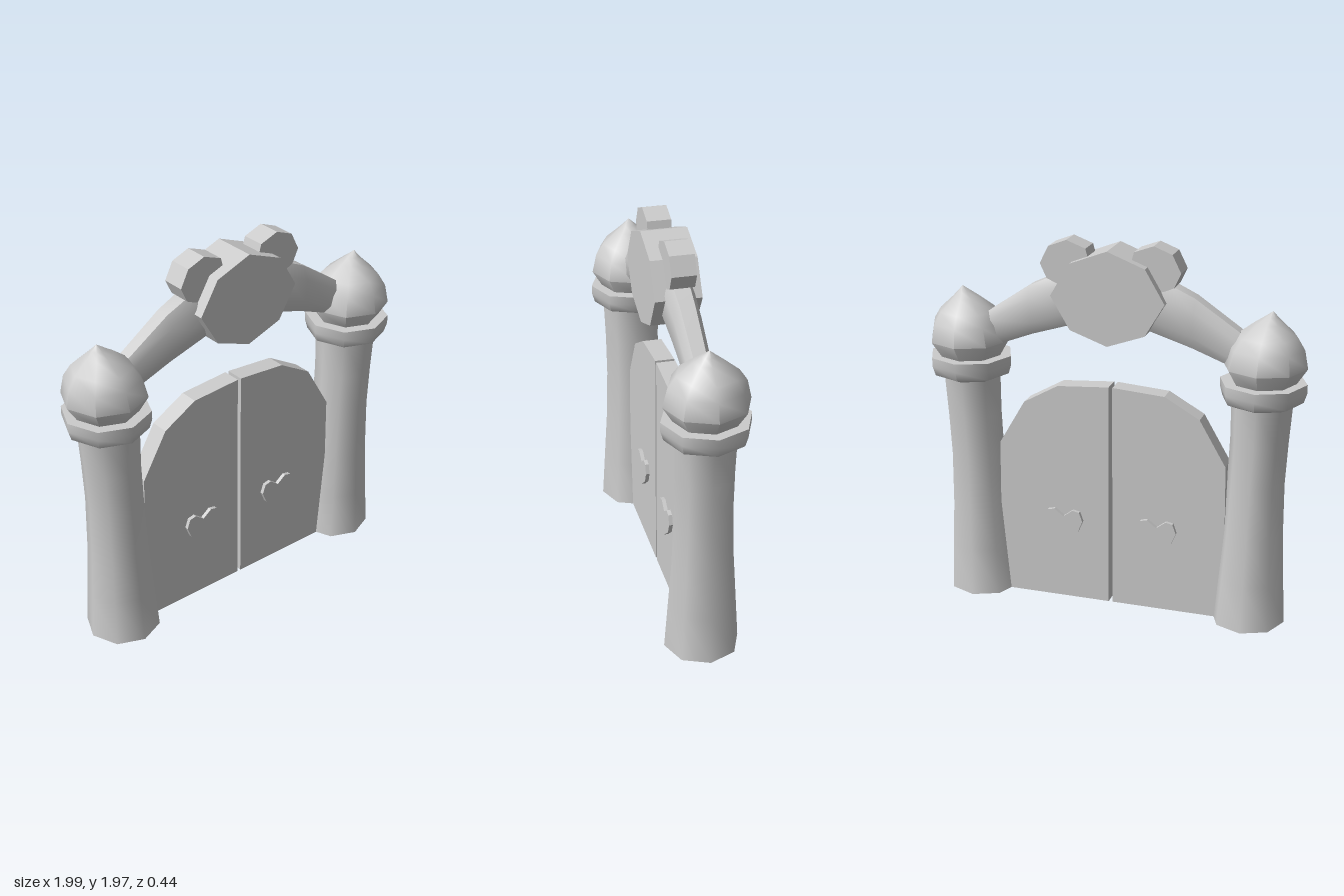
import * as THREE from 'three';
import { toCreasedNormals } from 'three/addons/utils/BufferGeometryUtils.js';

const material = new THREE.MeshStandardMaterial({ color: 0xcccccc });

function addMesh(group, name, geometry) {
  const mesh = new THREE.Mesh(geometry, material);
  mesh.name = name;
  group.add(mesh);
  return mesh;
}

// Flat outline extruded from z0 to z1
function slab(points, z0, z1) {
  const shape = new THREE.Shape(points.map(([x, y]) => new THREE.Vector2(x, y)));
  const geometry = new THREE.ExtrudeGeometry(shape, { depth: z1 - z0, bevelEnabled: false });
  return geometry.translate(0, 0, z0);
}

// Eight-sided turned part; rows are [radius, y, centre x]
function turned(rows, side) {
  const segments = 8;
  const geometry = new THREE.LatheGeometry(rows.map(([r, y]) => new THREE.Vector2(r, y)), segments);
  const pos = geometry.attributes.position;
  for (let i = 0; i < pos.count; i++) {
    pos.setX(i, pos.getX(i) + side * rows[i % rows.length][2]);
  }
  return toCreasedNormals(geometry, 0.95);
}

// Bevelled beam lofted through stations [top x, top y, bottom x, bottom y, half depth]
function archGeometry() {
  const half = [
    [0.66, 1.56, 0.6, 1.39, 0.06],
    [0.43, 1.715, 0.42, 1.46, 0.068],
    [0.29, 1.78, 0.2, 1.53, 0.075],
  ];
  const stations = [
    ...half.map(([a, b, c, d, e]) => [-a, b, -c, d, e]),
    [0, 1.8, 0, 1.55, 0.075],
    ...half.slice().reverse(),
  ];
  // [fraction from top to bottom, fraction of half depth]
  const section = [[0, 0.55], [0.25, 1], [0.75, 1], [1, 0.55], [1, -0.55], [0.75, -1], [0.25, -1], [0, -0.55]];
  const n = section.length;
  const vertices = [];
  const indices = [];
  for (const [tx, ty, bx, by, depth] of stations) {
    for (const [t, w] of section) vertices.push(tx + (bx - tx) * t, ty + (by - ty) * t, depth * w);
  }
  for (let s = 0; s < stations.length - 1; s++) {
    for (let k = 0; k < n; k++) {
      const a = s * n + k, b = s * n + (k + 1) % n;
      indices.push(a, b, b + n, a, b + n, a + n);
    }
  }
  const last = (stations.length - 1) * n;
  for (let k = 1; k < n - 1; k++) {
    indices.push(0, k + 1, k, last, last + k, last + k + 1);
  }
  const geometry = new THREE.BufferGeometry();
  geometry.setAttribute('position', new THREE.Float32BufferAttribute(vertices, 3));
  geometry.setIndex(indices);
  return toCreasedNormals(geometry, 0.8);
}

const PILLAR = [
  [0, 0, 0.74], [0.192, 0, 0.74], [0.175, 0.25, 0.745], [0.158, 0.5, 0.75],
  [0.148, 0.78, 0.757], [0.149, 1.0, 0.767], [0.157, 1.23, 0.775], [0, 1.23, 0.775],
];
const COLLAR = [
  [0, 1.2, 0.775], [0.16, 1.2, 0.775], [0.205, 1.22, 0.776], [0.22, 1.27, 0.777],
  [0.22, 1.315, 0.777], [0, 1.315, 0.777],
];
const FINIAL = [
  [0, 1.3, 0.78], [0.16, 1.31, 0.78], [0.212, 1.395, 0.783], [0.19, 1.49, 0.787],
  [0.15, 1.55, 0.79], [0.072, 1.615, 0.797], [0.035, 1.645, 0.805], [0, 1.675, 0.813],
];
const LEAF = [[0.01, 0], [0.62, 0], [0.61, 0.85], [0.47, 1.09], [0.285, 1.195], [0.01, 1.215]];
const HEART = [
  [0.255, 0.33], [0.335, 0.395], [0.36, 0.455], [0.342, 0.505], [0.305, 0.513],
  [0.255, 0.475], [0.205, 0.513], [0.168, 0.505], [0.15, 0.455], [0.175, 0.395],
];
const KNOB = [
  [0.225, 1.967], [0.32, 1.93], [0.365, 1.84], [0.33, 1.765],
  [0.225, 1.72], [0.14, 1.75], [0.1, 1.84], [0.125, 1.93],
];
const MEDALLION = [
  [0, 1.935], [-0.195, 1.86], [-0.296, 1.69], [-0.195, 1.52],
  [0, 1.45], [0.195, 1.52], [0.296, 1.69], [0.195, 1.86],
];

export function createModel() {
  const model = new THREE.Group();
  model.name = 'archedGate';

  for (const [side, label] of [[1, 'left'], [-1, 'right']]) {
    const mirror = (points) => points.map(([x, y]) => [side * x, y]);

    // Leaning pillar with collar and pointed finial
    const pillar = new THREE.Group();
    pillar.name = label + 'Pillar';
    addMesh(pillar, 'shaft', turned(PILLAR, side));
    addMesh(pillar, 'collar', turned(COLLAR, side));
    addMesh(pillar, 'finial', turned(FINIAL, side));
    model.add(pillar);

    // Gate leaf with a raised heart on both faces
    const leaf = new THREE.Group();
    leaf.name = label + 'GateLeaf';
    addMesh(leaf, 'panel', slab(mirror(LEAF), -0.05, 0.05));
    addMesh(leaf, 'heart', slab(mirror(HEART), -0.07, 0.07));
    model.add(leaf);

    // Round knob beside the medallion
    addMesh(model, label + 'Knob', slab(mirror(KNOB), -0.062, 0.062));
  }

  // Arch beam and its central medallion
  addMesh(model, 'arch', archGeometry());
  addMesh(model, 'medallion', slab(MEDALLION, -0.11, 0.125));
  return model;
}
